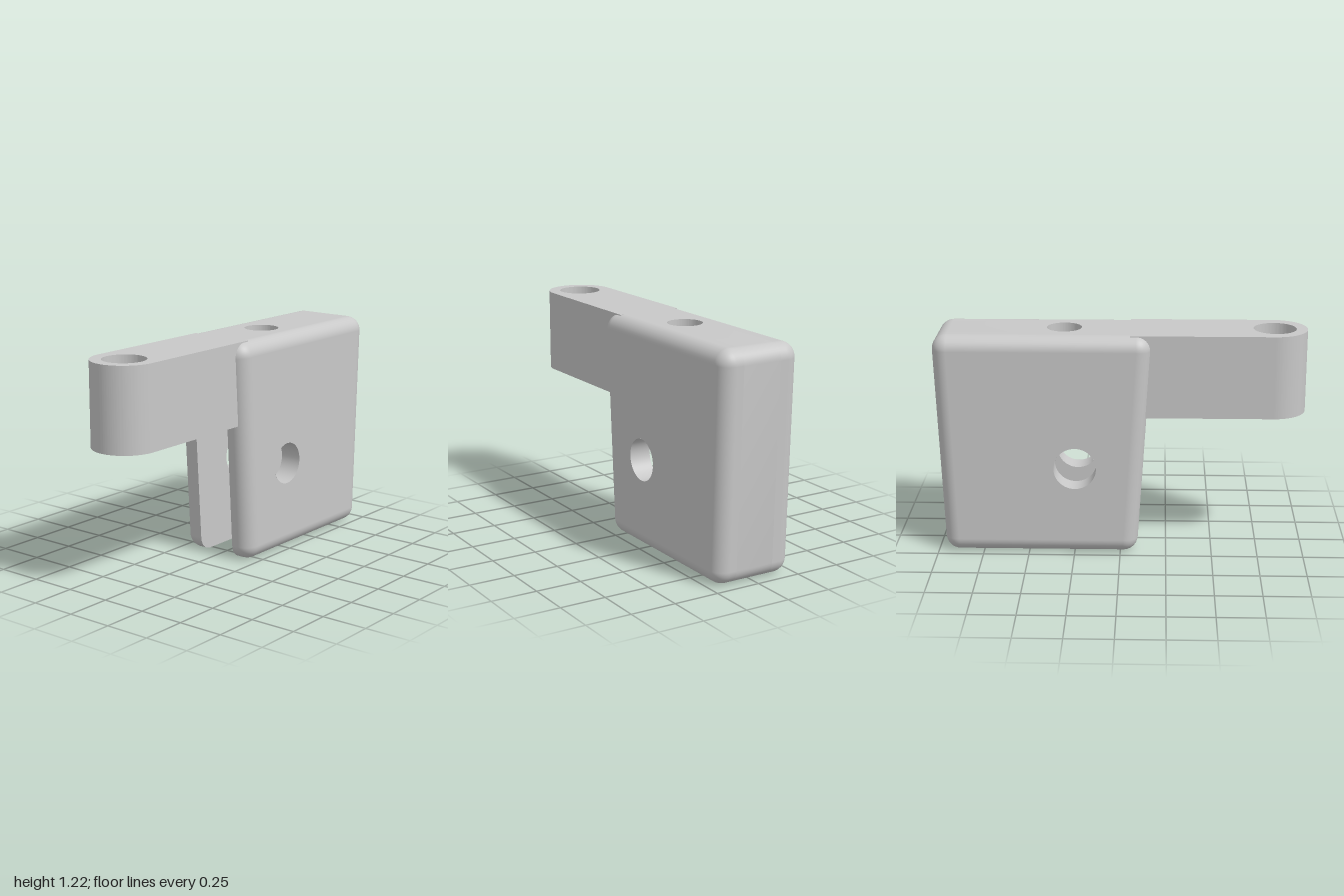
import * as THREE from 'three';
import { toCreasedNormals } from 'three/addons/utils/BufferGeometryUtils.js';

const R = 0.08;          // edge rounding
const HALF = 0.231;      // half thickness of the body
const SLOT = 0.11;       // half width of the slot
const SLOT_TOP = 0.77, SLOT_END = 0.913, TOP = 1.223;
const PIN = { x: 0.245, y: 0.495, r: 0.115 };
const BORE = { x: 0.305, r: 0.094 };
const BRIDGE_X = 0.45;   // where the arm's tongue meets the end wall
const N = 10;

// Rounding centres of the tapered block with the arc each one sweeps
const corners = [
  { x: 0.92, y: TOP - R, a: -0.035, b: Math.PI / 2 },
  { x: -0.083, y: TOP - R, a: Math.PI / 2, b: Math.PI + 0.063 },
  { x: -0.016, y: R, a: Math.PI + 0.063, b: Math.PI * 1.5 },
  { x: 0.883, y: R, a: Math.PI * 1.5, b: Math.PI * 2 - 0.035 },
];

function arc(c) {
  return Array.from({ length: N + 1 }, (_, i) => {
    const t = c.a + (c.b - c.a) * i / N, dx = Math.cos(t), dy = Math.sin(t);
    return { dx, dy, cx: c.x, cy: c.y, p: new THREE.Vector2(c.x + R * dx, c.y + R * dy) };
  });
}

function addHole(shape, x, y, r) {
  shape.holes.push(new THREE.Path().absarc(x, y, r, 0, Math.PI * 2, true));
  return shape;
}

function extrude(shape, depth) {
  const g = new THREE.ExtrudeGeometry(shape, { depth, bevelEnabled: false, curveSegments: 48 });
  return toCreasedNormals(g, 0.6);
}

// Flat cheek face with the cross hole
function faceGeometry(points, z) {
  const shape = addHole(new THREE.Shape(points), PIN.x, PIN.y, PIN.r);
  return new THREE.ShapeGeometry(shape, 48).translate(0, 0, z);
}

// Rounded rim of a cheek plate: rings running out from the slot and over the edge
function rimGeometry() {
  const outline = corners.flatMap(arc), n = outline.length;
  const pos = [], nor = [], idx = [];
  for (let k = 0; k <= N + 1; k++) {
    const t = k === 0 ? 0 : (k - 1) / N * Math.PI / 2;
    const c = Math.cos(t), s = Math.sin(t);
    const z = k === 0 ? SLOT : HALF - R + R * s;
    for (const o of outline) {
      pos.push(o.cx + o.dx * R * c, o.cy + o.dy * R * c, z);
      nor.push(o.dx * c, o.dy * c, s);
    }
  }
  for (let k = 0; k <= N; k++) for (let i = 0; i < n; i++) {
    const j = (i + 1) % n, a = k * n + i, b = k * n + j;
    idx.push(a, b, b + n, a, b + n, a + n);
  }
  const g = new THREE.BufferGeometry();
  g.setAttribute('position', new THREE.Float32BufferAttribute(pos, 3));
  g.setAttribute('normal', new THREE.Float32BufferAttribute(nor, 3));
  g.setIndex(idx);
  return g;
}

export function createModel() {
  const model = new THREE.Group();
  model.name = 'slottedBracket';
  const grey = new THREE.MeshStandardMaterial({ color: 0xc8c8c8, side: THREE.DoubleSide });
  grey.name = 'lightGrey';
  const add = (parent, name, geometry) => {
    const m = new THREE.Mesh(geometry, grey);
    m.name = name;
    parent.add(m);
  };

  // Two cheek plates with a cross hole
  const rim = rimGeometry();
  const outer = faceGeometry(corners.map(c => new THREE.Vector2(c.x, c.y)), HALF);
  const inner = faceGeometry(corners.flatMap(arc).map(o => o.p), SLOT);
  const wall = new THREE.CylinderGeometry(PIN.r, PIN.r, HALF - SLOT, 48, 1, true);
  wall.rotateX(Math.PI / 2).translate(PIN.x, PIN.y, (HALF + SLOT) / 2);
  for (const side of [1, -1]) {
    const cheek = new THREE.Group();
    cheek.name = side > 0 ? 'frontCheek' : 'backCheek';
    add(cheek, 'roundedRim', rim);
    add(cheek, 'outerFace', outer);
    add(cheek, 'slotFace', inner);
    add(cheek, 'crossHole', wall);
    cheek.scale.z = side;
    model.add(cheek);
  }

  // End wall closing the slot, with the top bridge beside it
  const V = (x, y) => new THREE.Vector2(x, y);
  const topArc = arc(corners[0]).map(o => o.p), lowArc = arc(corners[3]).map(o => o.p);
  const cutY = R - Math.sqrt(R * R - (SLOT_END - corners[3].x) ** 2);
  const endWall = new THREE.Shape([
    V(BRIDGE_X, SLOT_TOP), V(SLOT_END, SLOT_TOP), V(SLOT_END, cutY),
    ...lowArc.filter(p => p.x > SLOT_END + 0.001), ...topArc, V(BRIDGE_X, TOP),
  ]);
  add(model, 'endWall', extrude(endWall, SLOT * 2).translate(0, 0, -SLOT));

  // Arm with a round eye, running on as a bored tongue between the cheeks
  const arm = new THREE.Shape();
  arm.moveTo(-0.82, -0.18);
  arm.lineTo(-0.05, -0.18);
  arm.lineTo(-0.05, -SLOT);
  arm.lineTo(BRIDGE_X, -SLOT);
  arm.lineTo(BRIDGE_X, SLOT);
  arm.lineTo(-0.05, SLOT);
  arm.lineTo(-0.05, 0.18);
  arm.lineTo(-0.82, 0.18);
  arm.absarc(-0.82, 0, 0.18, Math.PI / 2, Math.PI * 1.5, false);
  addHole(arm, -0.825, 0, 0.115);
  addHole(arm, BORE.x, 0, BORE.r);
  add(model, 'arm', extrude(arm, TOP - SLOT_TOP).rotateX(-Math.PI / 2).translate(0, SLOT_TOP, 0));

  return model;
}
